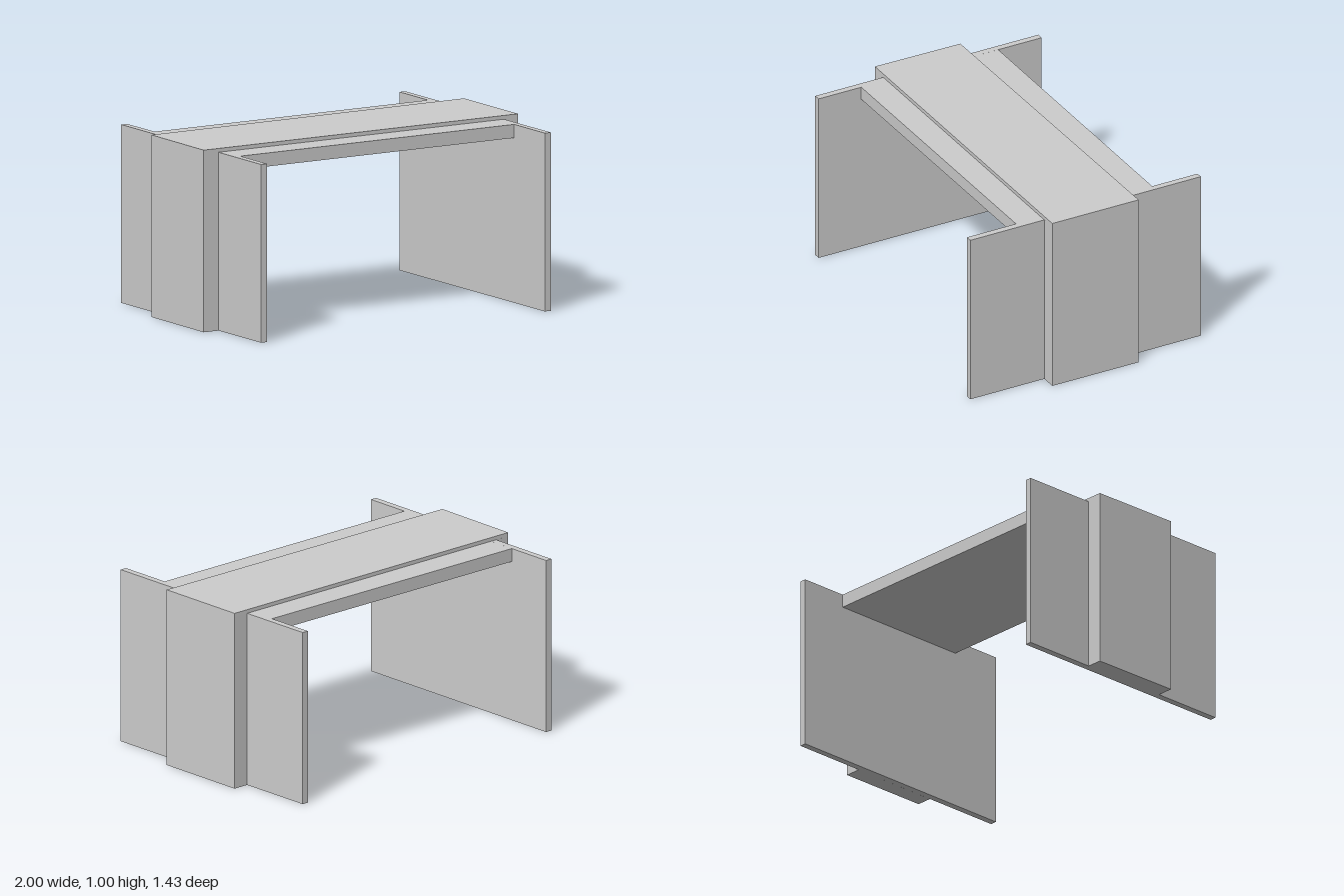
import * as THREE from 'three';

const material = new THREE.MeshStandardMaterial({ color: 0xcccccc, flatShading: true });
const WALL_TOP = 0.977;
const DECK_BOTTOM = 0.903;

// Upright prism over a slightly skewed [x, z] footprint, from y0 to y1
function prism(name, corners, y0, y1) {
  const shape = new THREE.Shape(corners.map(([x, z]) => new THREE.Vector2(x, -z)));
  const geometry = new THREE.ExtrudeGeometry(shape, { depth: y1 - y0, bevelEnabled: false });
  geometry.rotateX(-Math.PI / 2).translate(0, y0, 0);
  const mesh = new THREE.Mesh(geometry, material);
  mesh.name = name;
  return mesh;
}

export function createModel() {
  const model = new THREE.Group();
  model.name = 'portalFrame';

  model.add(
    // Long side walls, each standing a little off square
    prism('rightWall', [[-0.92, -0.708], [-0.896, 0.674], [-0.858, 0.674], [-0.882, -0.708]], 0, WALL_TOP),
    prism('leftWall', [[0.853, -0.716], [0.882, 0.714], [0.92, 0.714], [0.89, -0.716]], 0, WALL_TOP),

    // Slab spanning between the walls
    prism('deck', [[-0.877, -0.438], [-0.863, 0.41], [0.876, 0.41], [0.859, -0.435]], DECK_BOTTOM, WALL_TOP),

    // Thick pillars against the outside of the walls
    prism('rightPillar', [[-1, -0.273], [-0.997, 0.253], [-0.903, 0.253], [-0.912, -0.274]], 0, WALL_TOP),
    prism('leftPillar', [[0.899, -0.279], [0.911, 0.255], [1, 0.255], [0.991, -0.28]], 0, WALL_TOP),

    // Raised cap running over both pillars and the deck
    prism('cap', [[-1, -0.273], [-0.997, 0.253], [1, 0.255], [0.991, -0.28]], WALL_TOP, 0.998)
  );
  return model;
}
